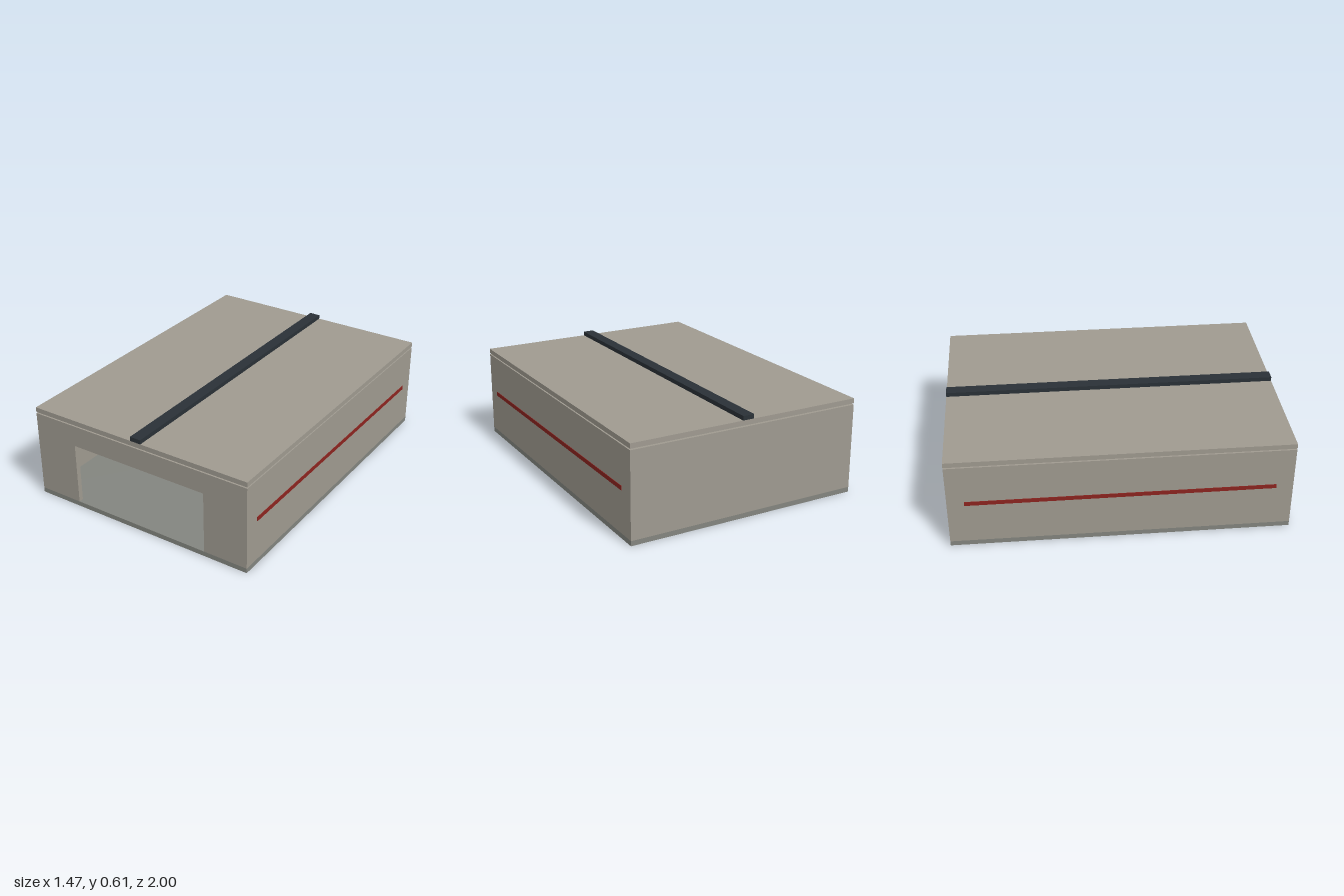
import * as THREE from 'three';

export function createModel() {
  const model = new THREE.Group();
  const paint = (color) => new THREE.MeshStandardMaterial({ color });
  const wallMat = paint(0x9f9a90);
  const floorMat = paint(0x83857f);
  const darkMat = paint(0x2a3137);
  const redMat = paint(0x8c241f);

  const W = 0.73, L = 1, T = 0.03;        // half width, half length, thickness
  const wallBase = 0.03, wallTop = 0.547;
  const wallH = wallTop - wallBase;

  const add = (name, geometry, material, x, y, z) => {
    const mesh = new THREE.Mesh(geometry, material);
    mesh.name = name;
    mesh.position.set(x, y, z);
    model.add(mesh);
    return mesh;
  };
  const box = (name, material, w, h, d, x, y, z) =>
    add(name, new THREE.BoxGeometry(w, h, d), material, x, y, z);

  // Floor slab, flat roof and ridge beam
  box('floor', floorMat, 2 * W, wallBase, 2 * L, 0, wallBase / 2, 0);
  box('roof', wallMat, 2 * W, 0.03, 2 * L, 0, 0.57, 0);
  box('roofBeam', darkMat, 0.07, 0.026, 2 * L, 0, 0.598, 0);

  // Back wall
  box('backWall', wallMat, 2 * W, wallH, T, 0, wallBase + wallH / 2, -L + T / 2);

  // Front wall with a doorway reaching down to the floor
  const doorHalf = 0.45, doorTop = 0.415;
  const outline = new THREE.Shape([
    [-W, wallBase], [-doorHalf, wallBase], [-doorHalf, doorTop], [doorHalf, doorTop],
    [doorHalf, wallBase], [W, wallBase], [W, wallTop], [-W, wallTop],
  ].map(([x, y]) => new THREE.Vector2(x, y)));
  add('frontWall', new THREE.ExtrudeGeometry(outline, { depth: T, bevelEnabled: false }),
    wallMat, 0, 0, L - T);

  // Side walls, their red stripes and the inner columns
  for (const [side, s] of [['left', 1], ['right', -1]]) {
    box(side + 'Wall', wallMat, T, wallH, 2 * (L - T), s * (W - T / 2), wallBase + wallH / 2, 0);
    box(side + 'Stripe', redMat, 0.006, 0.026, 1.8, s * W, 0.298, 0);
    for (const z of [-0.48, 0, 0.48]) {
      box(side + 'Column', darkMat, 0.035, wallH, 0.03, s * (W - T - 0.0175), wallBase + wallH / 2, z);
    }
  }
  return model;
}
